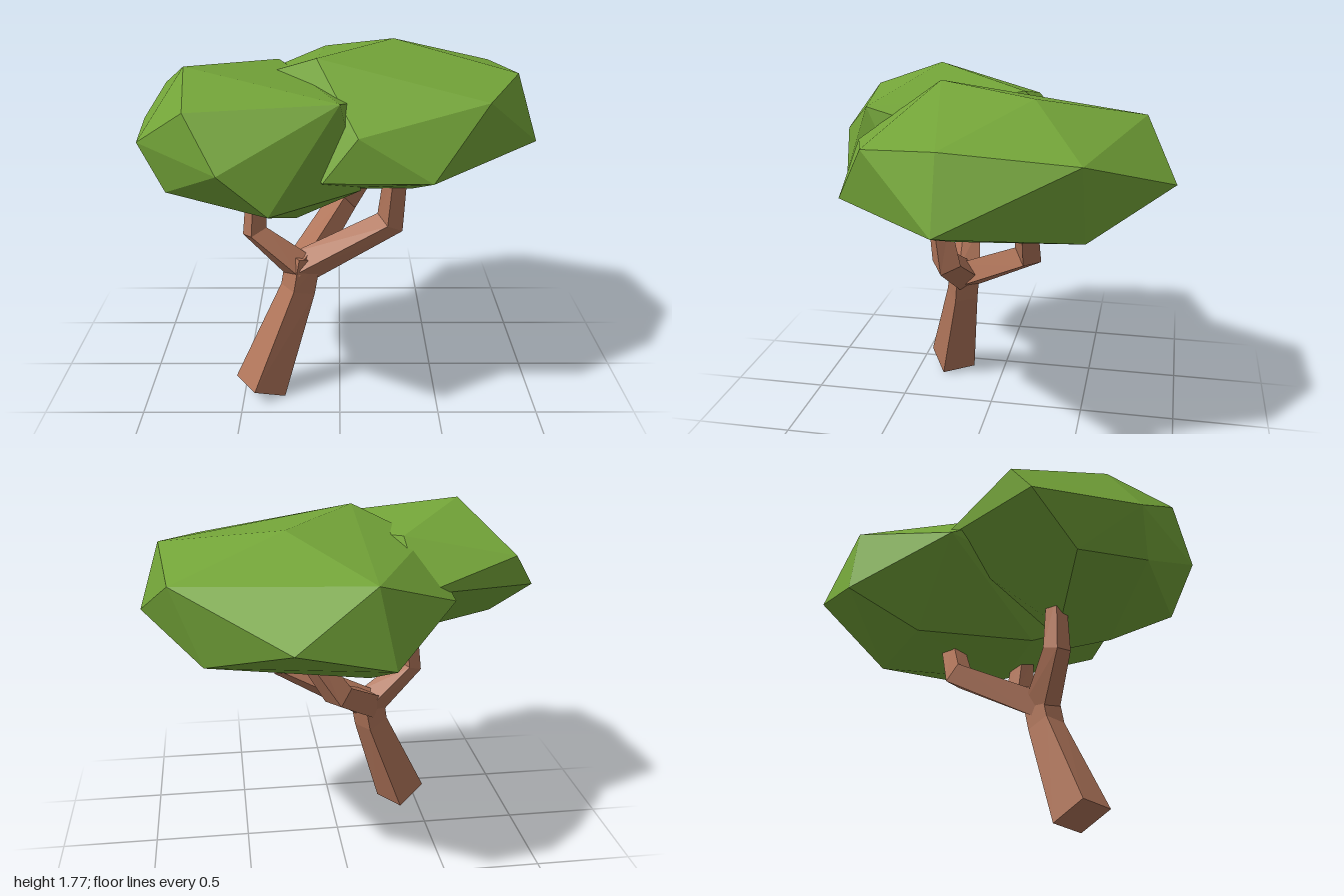
import * as THREE from 'three';
import { ConvexGeometry } from 'three/addons/geometries/ConvexGeometry.js';

const V = (p) => new THREE.Vector3(...p);

// Four-sided limb with mitred joints; each station is [x, y, z, radius]
function limbGeometry(stations) {
  const pts = stations.map((s) => V(s.slice(0, 3)));
  const ref = new THREE.Vector3(-0.25, 0, 1);
  const rings = pts.map((p, i) => {
    const t = new THREE.Vector3();
    if (i > 0) t.add(p.clone().sub(pts[i - 1]).normalize());
    if (i < pts.length - 1) t.add(pts[i + 1].clone().sub(p).normalize());
    t.normalize();
    const u = ref.clone().addScaledVector(t, -ref.dot(t)).normalize();
    const v = t.clone().cross(u);
    return [0, 1, 2, 3].map((k) => p.clone()
      .addScaledVector(u, Math.cos(k * Math.PI / 2) * stations[i][3])
      .addScaledVector(v, Math.sin(k * Math.PI / 2) * stations[i][3]));
  });
  const tri = [];
  const quad = (a, b, c, d) => tri.push(a, b, c, a, c, d);
  for (let i = 0; i < rings.length - 1; i++) {
    for (let k = 0; k < 4; k++) {
      const n = (k + 1) % 4;
      quad(rings[i][k], rings[i][n], rings[i + 1][n], rings[i + 1][k]);
    }
  }
  quad(...rings[0].slice().reverse());
  quad(...rings[rings.length - 1]);
  const g = new THREE.BufferGeometry().setFromPoints(tri);
  g.computeVertexNormals();
  return g;
}

export function createModel() {
  const tree = new THREE.Group();
  tree.name = 'tree';
  const bark = new THREE.MeshStandardMaterial({ color: 0xb0755a });
  bark.name = 'bark brown';
  const leaf = new THREE.MeshStandardMaterial({ color: 0x74a539 });
  leaf.name = 'leaf green';
  const add = (name, geometry, material) => {
    const m = new THREE.Mesh(geometry, material);
    m.name = name;
    tree.add(m);
  };

  // Leaning trunk and its three bent branches
  const fork = [-0.2, 0.67, 0.19, 0.09];
  const limbs = {
    trunk: [[-0.415, 0.043, 0.31, 0.139], [-0.217, 0.555, 0.205, 0.092], [-0.185, 0.73, 0.185, 0.092]],
    rightBranch: [fork, [-0.43, 0.88, 0.21, 0.068], [-0.41, 1.16, 0.22, 0.052]],
    leftBranch: [fork, [0.255, 0.915, 0.18, 0.078], [0.275, 1.16, 0.21, 0.06]],
    backBranch: [fork, [0.02, 0.9, -0.2, 0.078], [0.19, 1.16, -0.21, 0.062]],
  };
  for (const [name, stations] of Object.entries(limbs)) add(name, limbGeometry(stations), bark);

  // Broad faceted crown
  const large = [
    [-0.11, 1.77, 0.28], [0.28, 1.77, -0.26], [-0.45, 1.63, 0.05],
    [0.88, 1.655, 0.07], [0.69, 1.6, 0.46], [0.82, 1.605, -0.54], [-0.08, 1.64, -0.77],
    [0.99, 1.31, 0.07], [0.42, 1.28, 0.67], [0.08, 1.49, 0.67], [-0.08, 1.28, 0.66],
    [0.3, 1.4, -0.93], [-0.16, 1.26, -0.81], [-0.53, 1.42, -0.34], [0.68, 1.22, -0.55],
    [0.37, 1.075, 0.12], [-0.1, 1.085, -0.44], [-0.1, 1.09, 0.17],
  ];
  add('largeCrown', new ConvexGeometry(large.map(V)), leaf);

  // Smaller crown at the front
  const small = [
    [-0.71, 1.76, 0.42], [-0.31, 1.69, -0.12], [-0.67, 1.635, 0.78], [0, 1.64, 0.65],
    [-0.89, 1.57, -0.12], [-1, 1.4, -0.05], [-0.93, 1.43, 0.51], [-0.52, 1.4, 0.93],
    [-0.31, 1.2, 0.88], [-0.8, 1.21, 0.57], [-0.86, 1.185, 0.2], [-0.35, 1.05, 0.25],
    [-0.2, 1.085, 0.57], [0.1, 1.16, 0.4], [0.04, 1.6, 0.46], [-0.35, 1.47, -0.38],
  ];
  add('smallCrown', new ConvexGeometry(small.map(V)), leaf);

  return tree;
}
